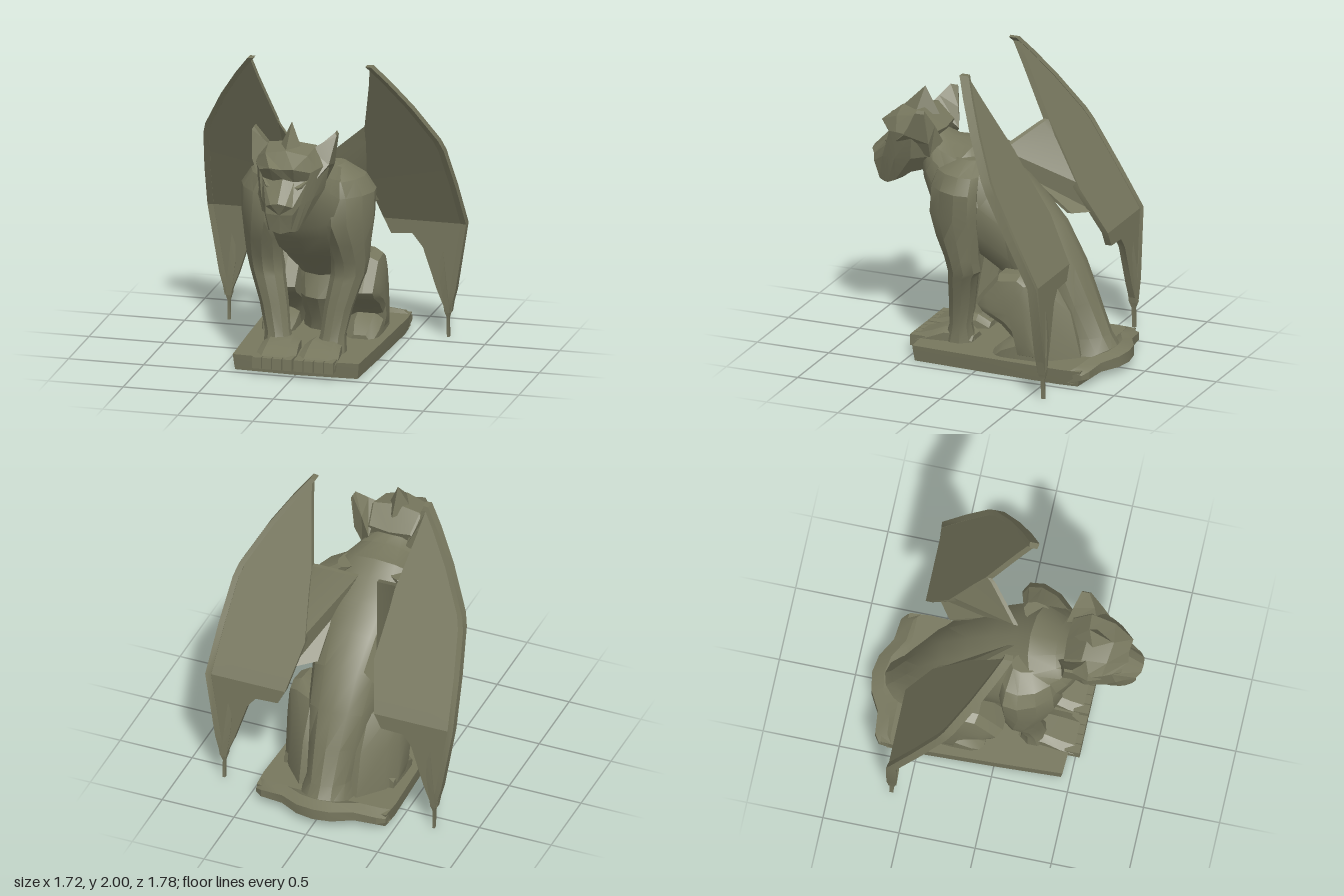
import * as THREE from 'three';
import { toCreasedNormals } from 'three/addons/utils/BufferGeometryUtils.js';

const stone = new THREE.MeshStandardMaterial({ color: 0x77775e });
stone.name = 'stone';

// Skin a list of closed rings of [x, y, z] points, cap both ends, face outwards
function loft(name, rings, crease = 0.45) {
  const n = rings[0].length;
  const tris = [];
  const mid = (r) => [0, 1, 2].map((k) => r.reduce((s, p) => s + p[k], 0) / n);
  rings.forEach((r, i) => {
    for (let j = 0; j < n; j++) {
      const k = (j + 1) % n;
      if (i === 0) tris.push([mid(r), r[k], r[j]]);
      if (i === rings.length - 1) tris.push([mid(r), r[j], r[k]]);
      else {
        const q = rings[i + 1];
        tris.push([r[j], r[k], q[k]], [r[j], q[k], q[j]]);
      }
    }
  });
  let volume = 0;
  for (const t of tris) {
    const [a, b, c] = t.map((p) => new THREE.Vector3(...p));
    volume += a.dot(b.cross(c));
  }
  if (volume < 0) tris.forEach((t) => t.reverse());
  const geo = new THREE.BufferGeometry();
  geo.setAttribute('position', new THREE.Float32BufferAttribute(tris.flat(2), 3));
  const mesh = new THREE.Mesh(toCreasedNormals(geo, crease), stone);
  mesh.name = name;
  return mesh;
}

// Ring across the body from a back point (z, y) to a belly point, half width w
const bodyRing = ([zt, yt, zb, yb, w], n = 14) => Array.from({ length: n }, (_, i) => {
  const a = (i / n) * Math.PI * 2;
  const c = Math.sign(Math.cos(a)) * Math.abs(Math.cos(a)) ** 0.85;
  const t = (1 - c) / 2;
  return [w * Math.sin(a), yt + (yb - yt) * t, zt + (zb - zt) * t];
});

// Horizontal leg ring: height, centre x, half width, centre z, half depth, inward slant of the front
const legRing = (s) => ([y, x, w, z, d, slant = 0]) => Array.from({ length: 10 }, (_, i) => {
  const a = ((i + 0.5) / 10) * Math.PI * 2;
  const dz = d * 1.05 * Math.sin(a);
  return [s * (x + w * 1.05 * Math.cos(a) - slant * dz), y, z + dz];
});

// Complete a half outline, listed from top centre to bottom centre
const mirrorRing = (half) => half.concat(half.slice(1, -1).reverse().map(([x, y, z]) => [-x, y, z]));

function block(name, w, h, d, x, y, z) {
  const m = new THREE.Mesh(new THREE.BoxGeometry(w, h, d), stone);
  m.name = name;
  m.position.set(x, y, z);
  return m;
}

function makeBase() {
  const g = new THREE.Group();
  g.name = 'base';
  const outline = [[0.42, 0.45], [0.44, 0], [0.46, -0.6], [0.45, -0.74], [0, -0.78]];
  const full = outline.concat(outline.slice(0, -1).reverse().map(([x, z]) => [-x, z]), [[0, 0.47]]);
  g.add(loft('plinth', [[0, 0.97], [0.03, 0.98], [0.105, 1]].map(([y, k]) => full.map(([x, z]) => [x * k, y, z * k]))));
  // Tail lying along the rear edge
  const tail = [[-0.45, -0.75, 0.08], [-0.4, -0.785, 0.1], [-0.25, -0.8, 0.11], [-0.12, -0.87, 0.12], [0, -0.89, 0.125]];
  const path = tail.concat(tail.slice(0, -1).reverse().map(([x, z, y]) => [-x, z, y]));
  g.add(loft('tail', path.map(([x, z, y]) => [[x, 0.02, -0.7], [x, 0.02, z + 0.1], [x, 0.05, z], [x, y, z], [x, y + 0.025, z + 0.08], [x, 0.1, -0.68]])));
  return g;
}

function makeHead() {
  const g = new THREE.Group();
  g.name = 'head';
  g.add(loft('skull', [
    [[0, 1.47, 0.39], [0.14, 1.48, 0.4], [0.21, 1.43, 0.41], [0.19, 1.32, 0.44], [0.12, 1.21, 0.48], [0, 1.19, 0.5]],
    [[0, 1.6, 0.53], [0.16, 1.58, 0.52], [0.25, 1.47, 0.53], [0.22, 1.3, 0.55], [0.14, 1.18, 0.58], [0, 1.16, 0.6]],
    [[0, 1.58, 0.7], [0.14, 1.55, 0.68], [0.2, 1.46, 0.66], [0.18, 1.27, 0.68], [0.12, 1.1, 0.7], [0, 1.08, 0.7]],
    [[0, 1.48, 0.8], [0.08, 1.49, 0.81], [0.17, 1.45, 0.72], [0.15, 1.26, 0.74], [0.1, 1.07, 0.76], [0, 1.05, 0.76]],
    [[0, 1.41, 0.77], [0.07, 1.39, 0.75], [0.15, 1.39, 0.7], [0.12, 1.25, 0.79], [0.09, 1.07, 0.79], [0, 1.05, 0.79]],
    [[0, 1.28, 0.895], [0.05, 1.27, 0.89], [0.09, 1.25, 0.86], [0.09, 1.2, 0.86], [0.07, 1.08, 0.83], [0, 1.06, 0.835]],
  ].map(mirrorRing), 0.2));
  const spike = (name, base, tip) => loft(name, [base, base.map(() => tip)], 0.1);
  g.add(spike('crest', [[0, 1.57, 0.7], [0.08, 1.55, 0.58], [0, 1.55, 0.44], [-0.08, 1.55, 0.58]], [0, 1.73, 0.54]));
  for (const s of [1, -1]) {
    const at = (pts) => pts.map(([x, y, z]) => [s * x, y, z]);
    // Broad ear swept back from the temple
    g.add(loft('ear', [
      [[0.13, 1.56, 0.56], [0.2, 1.4, 0.66], [0.2, 1.32, 0.42], [0.13, 1.42, 0.36]],
      [[0.2, 1.6, 0.53], [0.255, 1.47, 0.58], [0.25, 1.43, 0.41], [0.19, 1.54, 0.39]],
      [[0.27, 1.66, 0.48], [0.282, 1.64, 0.49], [0.282, 1.64, 0.43], [0.27, 1.66, 0.43]],
    ].map(at), 0.1));
    // Slanted eye under the brow
    g.add(spike('eye', at([[0.06, 1.36, 0.77], [0.16, 1.4, 0.69], [0.14, 1.34, 0.72], [0.08, 1.32, 0.77]]), [s * 0.11, 1.36, 0.775]));
  }
  return g;
}

function makeFrontLeg(s) {
  const g = new THREE.Group();
  g.name = s > 0 ? 'leftFrontLeg' : 'rightFrontLeg';
  g.add(loft('shoulderAndLeg', [
    [1.36, 0.17, 0.07, 0.17, 0.1, 0.2], [1.28, 0.25, 0.11, 0.2, 0.16, 0.35], [1.18, 0.29, 0.13, 0.21, 0.18, 0.4],
    [1.0, 0.29, 0.13, 0.22, 0.18, 0.35], [0.85, 0.29, 0.12, 0.19, 0.15, 0.2], [0.72, 0.285, 0.115, 0.16, 0.115, 0.1],
    [0.62, 0.27, 0.11, 0.145, 0.105], [0.58, 0.26, 0.105, 0.16, 0.095],
    [0.4, 0.215, 0.09, 0.185, 0.085], [0.22, 0.185, 0.08, 0.21, 0.07], [0.1, 0.17, 0.1, 0.22, 0.1],
  ].map(legRing(s))));
  const paw = [[0.12, 0.08, 0.14], [0.2, 0.11, 0.19], [0.3, 0.12, 0.19], [0.4, 0.132, 0.15], [0.49, 0.132, 0.12]];
  g.add(loft('paw', paw.map(([z, w, y]) => [[-w, 0.07], [-w, y - 0.03], [-w * 0.6, y], [w * 0.6, y], [w, y - 0.03], [w, 0.07]]
    .map(([x, h]) => [s * (0.14 + x), h, z]))));
  for (let i = 0; i < 4; i++) g.add(block('toe', 0.06, 0.075, 0.1, s * (0.038 + i * 0.067), 0.083, 0.48));
  return g;
}

function makeHindLeg(s) {
  const g = new THREE.Group();
  g.name = s > 0 ? 'leftHindLeg' : 'rightHindLeg';
  // Side outline of the folded thigh as (z, y); each slice outwards has a scale and a shortened rear
  const side = [[-0.45, 0.63], [-0.3, 0.67], [-0.12, 0.65], [-0.02, 0.53], [0.04, 0.45], [0, 0.4], [-0.15, 0.32], [-0.26, 0.22], [-0.32, 0.1], [-0.68, 0.1], [-0.6, 0.4]];
  const slices = [[0.13, 0.85, 1], [0.2, 1, 0.9], [0.33, 1, 0.55], [0.39, 0.88, 0.4], [0.41, 0.6, 0.35]];
  g.add(loft('haunch', slices.map(([x, k, rear]) => side.map(([z, y]) => {
    const zz = z < -0.25 ? -0.25 + (z + 0.25) * rear : z;
    return [s * x, 0.4 + (y - 0.4) * k, -0.25 + (zz + 0.25) * k];
  }))));
  g.add(loft('hindFoot', [[-0.45, 0.1, 0.2], [-0.28, 0.11, 0.25], [-0.16, 0.11, 0.2], [-0.08, 0.08, 0.13]].map(([z, w, y]) =>
    [[-w, 0.08], [-w, y - 0.05], [-w * 0.5, y], [w * 0.5, y], [w, y - 0.05], [w, 0.08]].map(([x, h]) => [s * (0.28 + x), h, z]))));
  return g;
}

function makeWing(s) {
  const g = new THREE.Group();
  g.name = s > 0 ? 'leftWing' : 'rightWing';
  const depth = (y) => (y > 0.78 ? 0.09 - 0.552 * (2 - y) : -0.583 - (0.78 - y) * 0.03);
  // Rows of outer x, y and inner x, y from the tip down to the spike
  const rows = [
    [0.405, 2, 0.395, 1.97], [0.5, 1.88, 0.37, 1.84], [0.63, 1.69, 0.328, 1.66], [0.77, 1.44, 0.29, 1.5], [0.795, 1.36, 0.28, 1.38],
    [0.83, 1.08, 0.24, 1.08], [0.855, 0.78, 0.31, 0.78], [0.85, 0.72, 0.36, 0.68], [0.835, 0.66, 0.5, 0.69],
    [0.82, 0.58, 0.57, 0.6], [0.78, 0.32, 0.66, 0.32], [0.755, 0.17, 0.72, 0.17],
  ];
  const sheet = (list, t) => list.map(([a, b]) => [[a, t], [b, t], [b, -t], [a, -t]].map(([p, o]) => [s * p[0], p[1], p[2] + o]));
  g.add(loft('membrane', sheet(rows.map(([a, b, c, d]) => [[a, b, depth(b)], [c, d, depth(d)]]), 0.022)));
  // Fold joining the wing to the back
  g.add(loft('wingRoot', sheet([
    [[0.29, 1.51, -0.18], [0.27, 1.49, -0.15]], [[0.285, 1.38, -0.25], [0.07, 1.34, 0.04]],
    [[0.25, 1.12, -0.4], [0.16, 1.12, -0.16]], [[0.3, 0.92, -0.5], [0.16, 0.94, -0.4]],
  ], 0.016)));
  // Raised bone along the outer edge, ending in a ground spike
  const bone = rows.filter((_, i) => ![7, 8, 9].includes(i)).map(([x, y]) => [x, y, 0.032]);
  bone[bone.length - 1] = [0.74, 0.17, 0.028];
  bone.push([0.735, 0.13, 0.014], [0.735, 0, 0.014]);
  const strip = ([x, y, r]) => [[r * 0.2, r], [-r, r * 0.8], [-r, -r * 0.8], [r * 0.2, -r]].map(([dx, dz]) => [s * (x + dx), y, depth(y) + dz]);
  g.add(loft('wingBone', bone.map(strip)));
  g.add(loft('wingFinger', [[0.695, 0.65, 0.018], [0.715, 0.4, 0.035], [0.74, 0.17, 0.03]].map(strip)));
  return g;
}

export function createModel() {
  const model = new THREE.Group();
  model.name = 'wingedGuardian';
  model.add(makeBase(), makeHead());
  // Torso from neck to rump: back z, y, belly z, y, half width
  model.add(loft('torso', [
    [0.42, 1.46, 0.52, 1.2, 0.17], [0.33, 1.42, 0.5, 1.13, 0.23], [0.15, 1.42, 0.43, 0.97, 0.32], [0.04, 1.34, 0.38, 0.89, 0.345],
    [-0.1, 1.25, 0.26, 0.75, 0.33], [-0.26, 1.11, 0.1, 0.66, 0.3], [-0.43, 0.93, 0, 0.59, 0.26], [-0.57, 0.68, -0.12, 0.5, 0.23],
    [-0.67, 0.45, -0.08, 0.35, 0.2], [-0.76, 0.22, -0.18, 0.18, 0.17], [-0.83, 0.11, -0.2, 0.09, 0.19],
  ].map((r) => bodyRing(r)), 0.5));
  for (const s of [1, -1]) model.add(makeFrontLeg(s), makeHindLeg(s), makeWing(s));
  return model;
}
